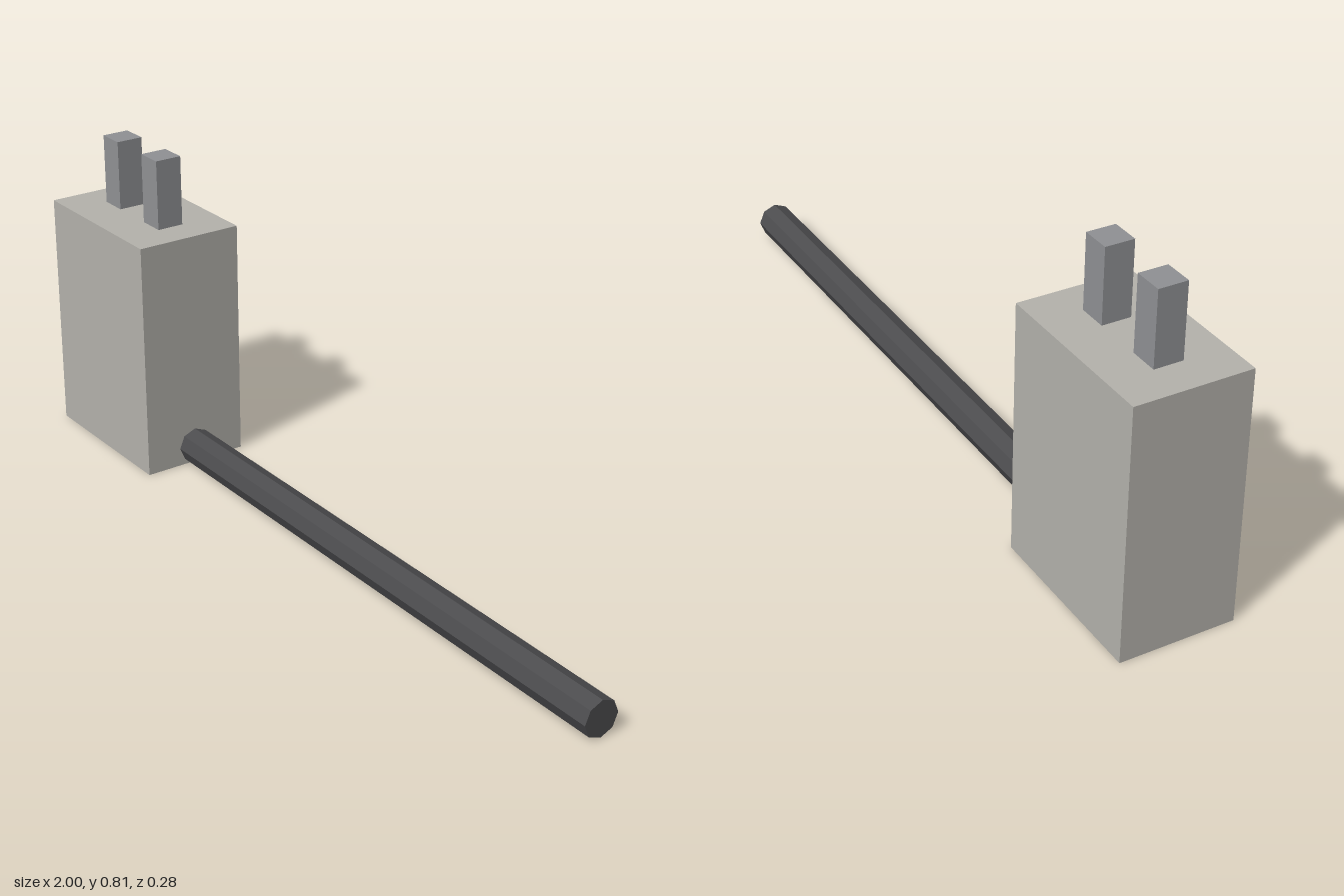
import * as THREE from 'three';

const material = (color) => new THREE.MeshStandardMaterial({ color, flatShading: true });

export function createModel() {
  const model = new THREE.Group();
  const add = (name, geometry, mat, x, y, z = 0) => {
    const mesh = new THREE.Mesh(geometry, mat);
    mesh.name = name;
    mesh.position.set(x, y, z);
    model.add(mesh);
    return mesh;
  };

  const bodyHeight = 0.628, bodyRight = -0.56;

  // Plug housing
  add('plugBody', new THREE.BoxGeometry(0.44, bodyHeight, 0.285), material(0xb4b2ac), -0.78, bodyHeight / 2);

  // Two square prongs standing on the housing
  const prongHeight = 0.182;
  const prongGeometry = new THREE.BoxGeometry(0.071, prongHeight, 0.071);
  const prongMaterial = material(0x909194);
  for (const [name, side] of [['rightProng', -1], ['leftProng', 1]]) {
    add(name, prongGeometry, prongMaterial, -0.779 + side * 0.094, bodyHeight + prongHeight / 2);
  }

  // Eight-sided cord leaving the housing near its base
  const cordLength = 1 - bodyRight;
  const cordGeometry = new THREE.CylinderGeometry(0.0465, 0.0465, cordLength, 8);
  cordGeometry.rotateZ(Math.PI / 2);
  add('cord', cordGeometry, material(0x4c4c4e), bodyRight + cordLength / 2, 0.048);

  return model;
}
